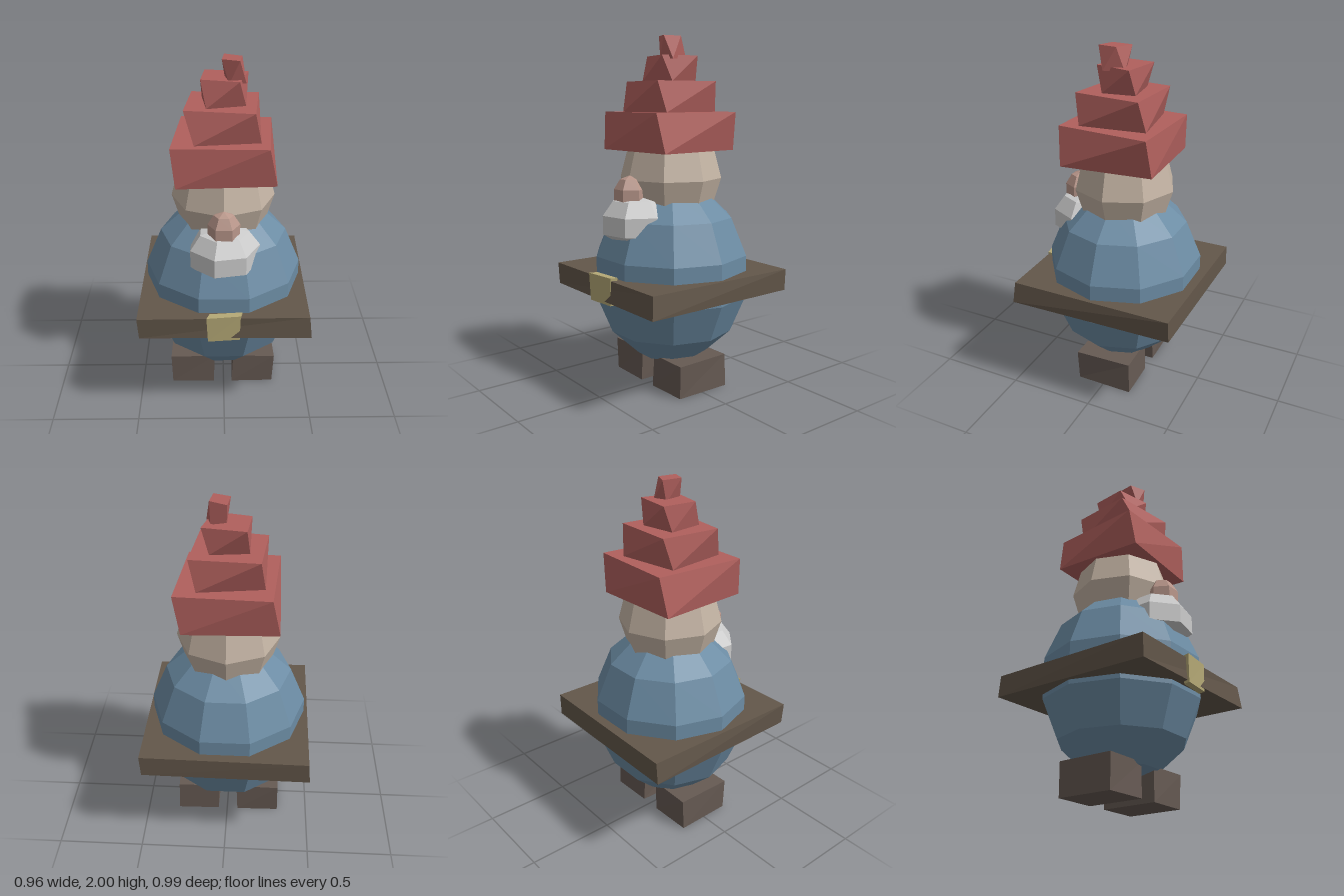
import * as THREE from 'three';

const mat = (color) => new THREE.MeshStandardMaterial({ color, flatShading: true });
const MATS = {
  coat: mat(0x6c8ca4), hat: mat(0xb0605d), skin: mat(0xc4b4a4), nose: mat(0xb8968a),
  beard: mat(0xcccccc), belt: mat(0x63574a), buckle: mat(0xb5a976), boot: mat(0x665a53),
};

// Box whose top and bottom corners are moved: [x, z] for back left, back right, front right, front left
function warpedBox(y0, y1, bottom, top) {
  const g = new THREE.BoxGeometry(1, 1, 1);
  const p = g.attributes.position;
  for (let i = 0; i < p.count; i++) {
    const px = p.getX(i) > 0, pz = p.getZ(i) > 0, up = p.getY(i) > 0;
    const [x, z] = (up ? top : bottom)[pz ? (px ? 2 : 3) : (px ? 1 : 0)];
    p.setXYZ(i, x, up ? y1 : y0, z);
  }
  g.computeVertexNormals();
  return g;
}

// Low-poly ball squashed in height
function ball(r, h, sides, rings) {
  return new THREE.SphereGeometry(1, sides, rings).scale(r, h, r);
}

function lathe(points, sides, turn = 0) {
  return new THREE.LatheGeometry(points.map(([r, y]) => new THREE.Vector2(r, y)), sides, turn);
}

export function createModel() {
  const group = new THREE.Group();
  const add = (name, geometry, material, x = 0, y = 0, z = 0) => {
    const mesh = new THREE.Mesh(geometry, material);
    mesh.name = name;
    mesh.position.set(x, y, z);
    group.add(mesh);
  };

  // Round coat and head
  add('body', ball(0.457, 0.535, 10, 7).scale(1.015, 1, 1), MATS.coat, 0, 0.655, -0.006);
  add('head', lathe([[0, 0.98], [0.15, 1.0], [0.25, 1.07], [0.293, 1.21], [0.25, 1.375], [0, 1.42]], 8),
    MATS.skin, 0, 0, -0.005);

  // Face
  add('nose', ball(0.093, 0.11, 6, 5), MATS.nose, 0, 1.13, 0.28);
  add('beard', lathe([[0, 0.86], [0.13, 0.875], [0.2, 0.915], [0.2, 1.02], [0.14, 1.1], [0, 1.13]], 7, -0.26),
    MATS.beard, 0, 0, 0.235);

  // Twisted hat tiers
  const tiers = [
    [1.37, 1.585,
      [[-0.285, -0.255], [0.24, -0.27], [0.285, 0.25], [-0.255, 0.28]],
      [[-0.24, -0.275], [0.28, -0.25], [0.24, 0.275], [-0.28, 0.255]]],
    [1.585, 1.755,
      [[-0.2, -0.15], [0.16, -0.2], [0.2, 0.175], [-0.155, 0.215]],
      [[-0.175, -0.195], [0.2, -0.17], [0.165, 0.21], [-0.21, 0.15]]],
    [1.755, 1.895,
      [[-0.115, -0.085], [0.095, -0.11], [0.12, 0.075], [-0.09, 0.125]],
      [[-0.1, -0.13], [0.137, -0.09], [0.085, 0.12], [-0.12, 0.07]]],
    [1.875, 2,
      [[0.01, -0.02], [0.09, -0.045], [0.12, 0.07], [0.03, 0.09]],
      [[0.005, -0.05], [0.1, 0], [0.085, 0.108], [-0.008, 0.07]]],
  ];
  tiers.forEach((t, i) => add(`hatTier${i + 1}`, warpedBox(...t), MATS.hat));

  // Square belt and buckle
  add('belt', warpedBox(0.56, 0.685,
    [[-0.48, -0.49], [0.47, -0.48], [0.483, 0.483], [-0.47, 0.475]],
    [[-0.47, -0.49], [0.478, -0.477], [0.47, 0.47], [-0.478, 0.478]]), MATS.belt);
  add('buckle', warpedBox(0.545, 0.7,
    [[-0.075, 0.45], [0.095, 0.435], [0.085, 0.475], [-0.09, 0.49]],
    [[-0.08, 0.45], [0.1, 0.435], [0.09, 0.475], [-0.097, 0.495]]), MATS.buckle);

  // Boots
  add('rightBoot', warpedBox(0, 0.19,
    [[-0.318, -0.165], [-0.065, -0.17], [-0.06, 0.165], [-0.315, 0.16]],
    [[-0.315, -0.17], [-0.058, -0.165], [-0.055, 0.16], [-0.32, 0.165]]), MATS.boot);
  add('leftBoot', warpedBox(0, 0.19,
    [[0.055, -0.17], [0.305, -0.175], [0.3, 0.16], [0.05, 0.165]],
    [[0.05, -0.165], [0.3, -0.17], [0.31, 0.165], [0.06, 0.16]]), MATS.boot);

  return group;
}
